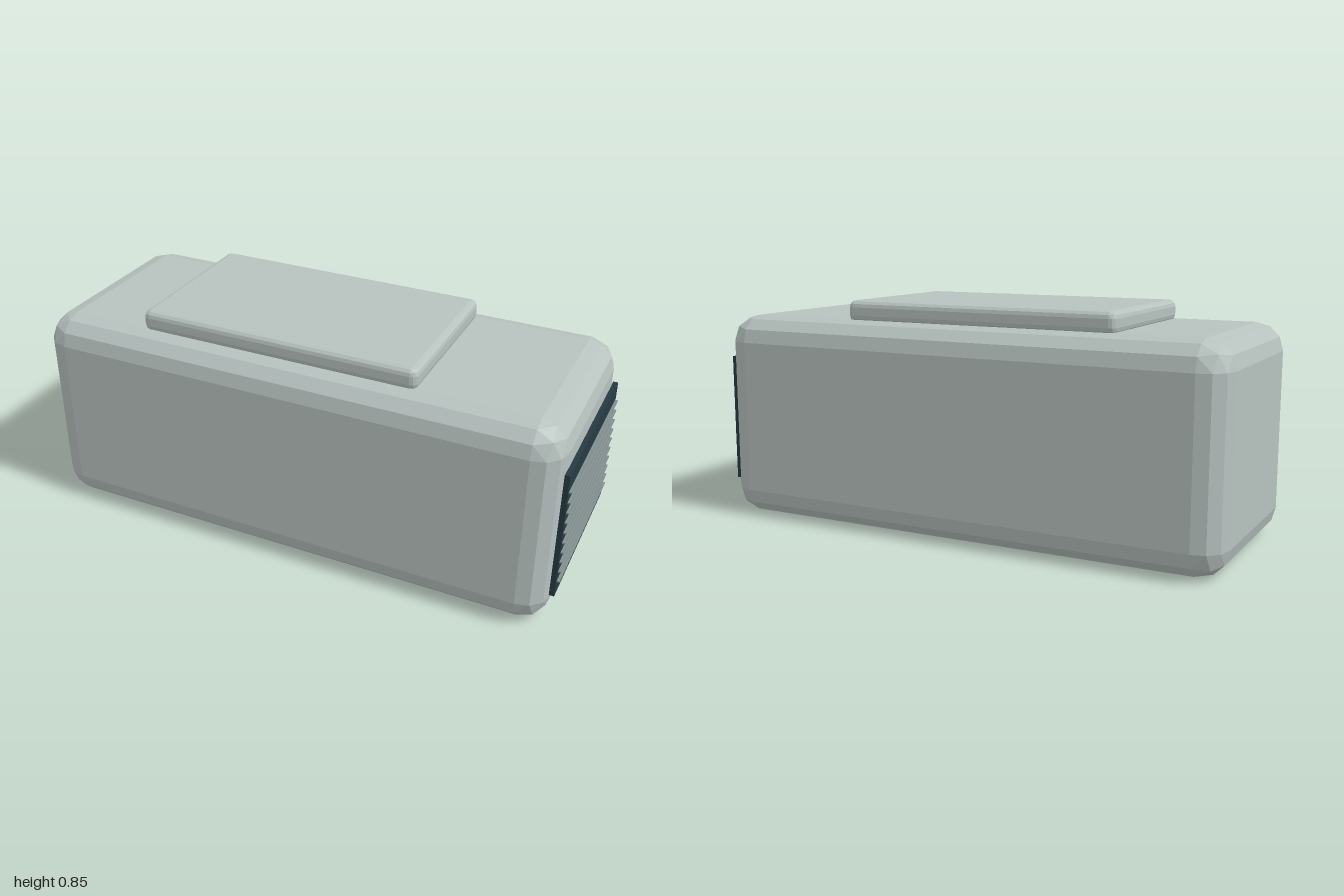
import * as THREE from 'three';
import { ConvexGeometry } from 'three/addons/geometries/ConvexGeometry.js';

// Box between two corners with rounded, faceted edges (three facets per bevel)
function beveledBox(min, max, radius) {
  const points = [];
  const step = Math.PI / 6;
  for (const sx of [-1, 1]) for (const sy of [-1, 1]) for (const sz of [-1, 1]) {
    const corner = new THREE.Vector3(
      sx < 0 ? min[0] + radius : max[0] - radius,
      sy < 0 ? min[1] + radius : max[1] - radius,
      sz < 0 ? min[2] + radius : max[2] - radius
    );
    for (let i = 0; i <= 3; i++) for (let j = 0; j <= 3 - i; j++) {
      const dir = new THREE.Vector3(
        sx * Math.sin(i * step), sy * Math.sin(j * step), sz * Math.sin((3 - i - j) * step)
      ).normalize();
      points.push(corner.clone().addScaledVector(dir, radius));
    }
  }
  return new ConvexGeometry(points);
}

function addMesh(parent, name, geometry, material) {
  const mesh = new THREE.Mesh(geometry, material);
  mesh.name = name;
  parent.add(mesh);
  return mesh;
}

export function createModel() {
  const group = new THREE.Group();
  group.name = 'ventedUnit';

  const shell = new THREE.MeshStandardMaterial({ color: 0xb7c2bf, flatShading: true });
  const dark = new THREE.MeshStandardMaterial({ color: 0x263a41 });
  const light = new THREE.MeshStandardMaterial({ color: 0x82908f });

  // Main housing and raised lid
  addMesh(group, 'housing', beveledBox([-1, 0, -0.4], [0.973, 0.775, 0.4], 0.1), shell);
  addMesh(group, 'lid', beveledBox([-0.6, 0.765, -0.31], [0.455, 0.845, 0.31], 0.025), shell);

  // Vent on the left end: dark plate with thin horizontal slats
  const vent = new THREE.Group();
  vent.name = 'vent';
  group.add(vent);
  addMesh(vent, 'ventPlate', new THREE.BoxGeometry(0.018, 0.486, 0.666), dark)
    .position.set(0.981, 0.367, 0);
  const slat = new THREE.BoxGeometry(0.014, 0.006, 0.644);
  for (let i = 0; i < 10; i++) {
    addMesh(vent, 'ventSlat', slat, light).position.set(0.993, 0.181 + i * 0.04, 0);
  }
  return group;
}
